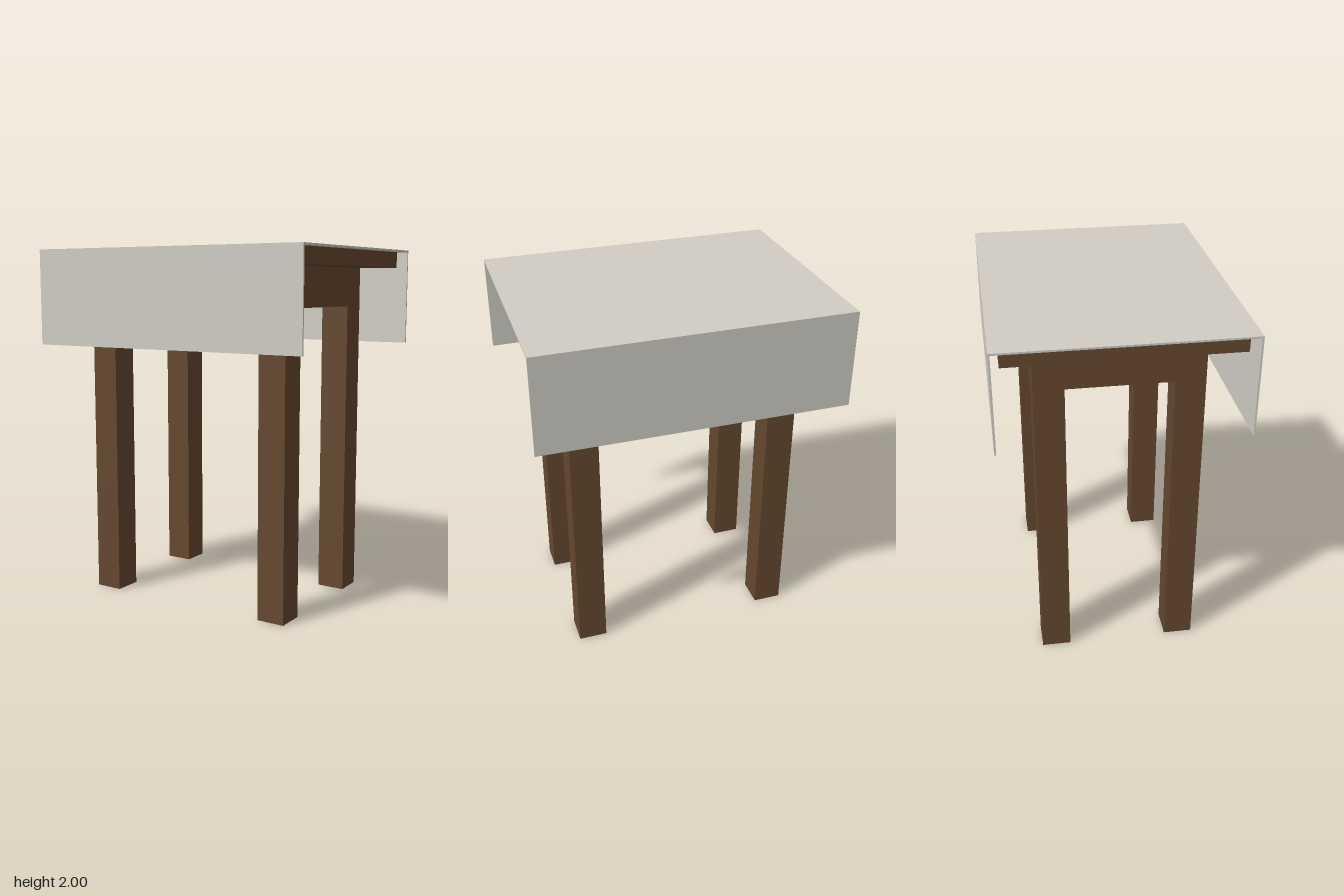
import * as THREE from 'three';

const wood = new THREE.MeshStandardMaterial({ color: 0x65482f, flatShading: true, side: THREE.DoubleSide });
const linen = new THREE.MeshStandardMaterial({ color: 0xd1cdc5, flatShading: true, side: THREE.DoubleSide });

export function createModel() {
  const group = new THREE.Group();
  const add = (name, geometry, material, x, y, z) => {
    const mesh = new THREE.Mesh(geometry, material);
    mesh.name = name;
    mesh.position.set(x, y, z);
    group.add(mesh);
  };

  // Tabletop slab and the solid apron block flush with the legs
  const clothY = 2, thick = 0.01;
  const topBottom = 1.9, apronBottom = 1.68;
  const slabHeight = clothY - thick - topBottom;
  add('tabletop', new THREE.BoxGeometry(1.6, slabHeight, 1.2), wood, 0, topBottom + slabHeight / 2, 0);
  add('apron', new THREE.BoxGeometry(1.28, topBottom - apronBottom, 0.88), wood, 0, (topBottom + apronBottom) / 2, 0);

  // Four square legs, open at the foot
  const radius = 0.16 / Math.SQRT2;
  const leg = new THREE.CylinderGeometry(radius, radius, apronBottom, 4, 1, true, Math.PI / 4);
  for (const [side, x] of [['Left', 0.56], ['Right', -0.56]]) {
    for (const [end, z] of [['front', 0.36], ['back', -0.36]]) {
      add(`${end}${side}Leg`, leg, wood, x, apronBottom / 2, z);
    }
  }

  // Tablecloth: a thin U profile hanging at front and back, extruded along x
  const halfZ = 0.65, halfX = 0.85, hem = 1.46;
  const inner = halfZ - thick, under = clothY - thick;
  const profile = new THREE.Shape([
    [-halfZ, hem], [-inner, hem], [-inner, under], [inner, under],
    [inner, hem], [halfZ, hem], [halfZ, clothY], [-halfZ, clothY],
  ].map(([z, y]) => new THREE.Vector2(z, y)));
  const cloth = new THREE.ExtrudeGeometry(profile, { depth: halfX * 2, bevelEnabled: false });
  cloth.translate(0, 0, -halfX).rotateY(Math.PI / 2);
  add('tablecloth', cloth, linen, 0, 0, 0);

  return group;
}
